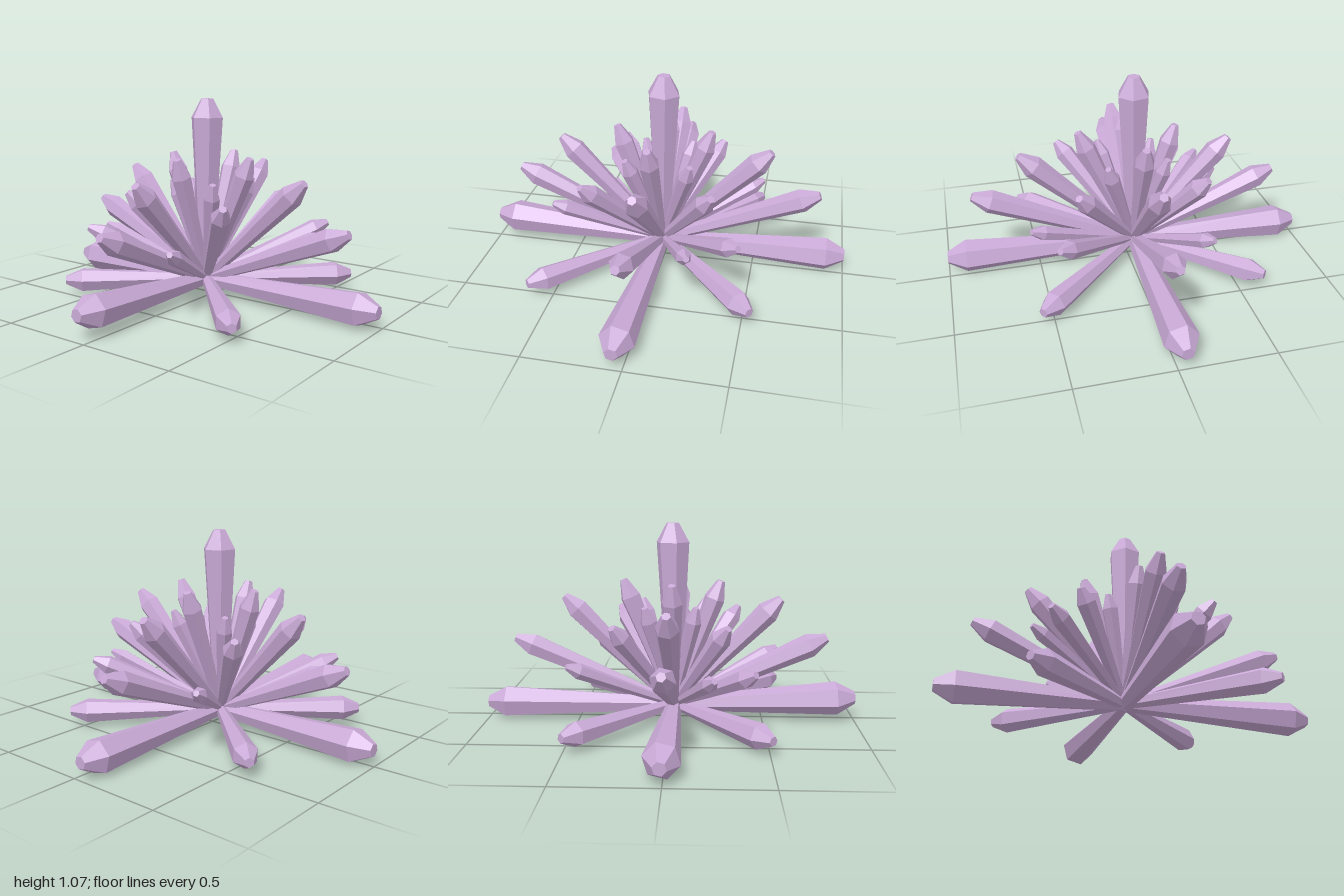
import * as THREE from 'three';

const ORIGIN = new THREE.Vector3(-0.02, 0.085, -0.04);
const UP = new THREE.Vector3(0, 1, 0);
const material = new THREE.MeshStandardMaterial({ color: 0xc9a9d6, flatShading: true });

// Six-sided crystal growing from the common root to its tip: narrow root, wide shoulder, blunt point
function crystal(name, [x, y, z], radius, point) {
  const dir = new THREE.Vector3(x, y, z).sub(ORIGIN);
  const length = dir.length();
  const profile = [
    [0, 0], [radius * 0.42, 0], [radius, length - point], [radius * 0.38, length], [0, length],
  ].map(([r, h]) => new THREE.Vector2(r, h));
  const geometry = new THREE.LatheGeometry(profile, 6).toNonIndexed();
  geometry.rotateY(Math.PI / 12);
  geometry.computeVertexNormals();
  const mesh = new THREE.Mesh(geometry, material);
  mesh.name = name;
  mesh.position.copy(ORIGIN);
  mesh.quaternion.setFromUnitVectors(UP, dir.normalize());
  return mesh;
}

// Each ring: name, shoulder radius, length of the pointed end, tip positions
const rings = [
  ['flatCrystal', 0.09, 0.1, [
    [1, 0.09, -0.045], [-1, 0.13, -0.04], [-0.05, 0.092, 1], [0.01, 0.088, -1]]],
  ['lowCrystal', 0.064, 0.1, [
    [0.84, 0.45, -0.045], [-0.84, 0.46, -0.04], [-0.06, 0.45, 0.84], [0.01, 0.45, -0.84]]],
  ['middleCrystal', 0.062, 0.1, [
    [0.57, 0.68, -0.04], [-0.59, 0.67, -0.04], [-0.04, 0.67, 0.58], [0, 0.67, -0.57]]],
  ['steepCrystal', 0.056, 0.1, [
    [0.25, 0.77, -0.04], [-0.27, 0.765, -0.04], [-0.04, 0.77, 0.26], [-0.015, 0.77, -0.27]]],
  ['flatDiagonalCrystal', 0.066, 0.09, [
    [0.54, 0.085, 0.56], [-0.62, 0.085, 0.55], [0.5, 0.085, -0.63], [-0.51, 0.085, -0.63]]],
  ['lowDiagonalCrystal', 0.05, 0.08, [[0.46, 0.38, 0.45], [-0.43, 0.38, -0.53]]],
  ['middleDiagonalCrystal', 0.054, 0.08, [
    [0.3, 0.57, 0.32], [-0.38, 0.565, 0.33], [0.28, 0.57, -0.37], [-0.3, 0.57, -0.36]]],
  ['steepDiagonalCrystal', 0.045, 0.08, [
    [0.16, 0.64, 0.14], [-0.19, 0.64, 0.13], [0.13, 0.64, -0.19], [-0.14, 0.64, -0.17]]],
  ['thinCrystal', 0.042, 0.07, [
    [0.22, 0.36, 0.56], [-0.59, 0.36, 0.17], [0.52, 0.36, -0.33], [-0.23, 0.36, -0.58]]],
];

export function createModel() {
  const model = new THREE.Group();
  model.name = 'crystalCluster';
  model.add(crystal('centralCrystal', [-0.012, 1.07, -0.037], 0.09, 0.1));
  for (const [name, radius, point, tips] of rings) {
    const ring = new THREE.Group();
    ring.name = name + 'Ring';
    tips.forEach((tip) => ring.add(crystal(name, tip, radius, point)));
    model.add(ring);
  }
  return model;
}
